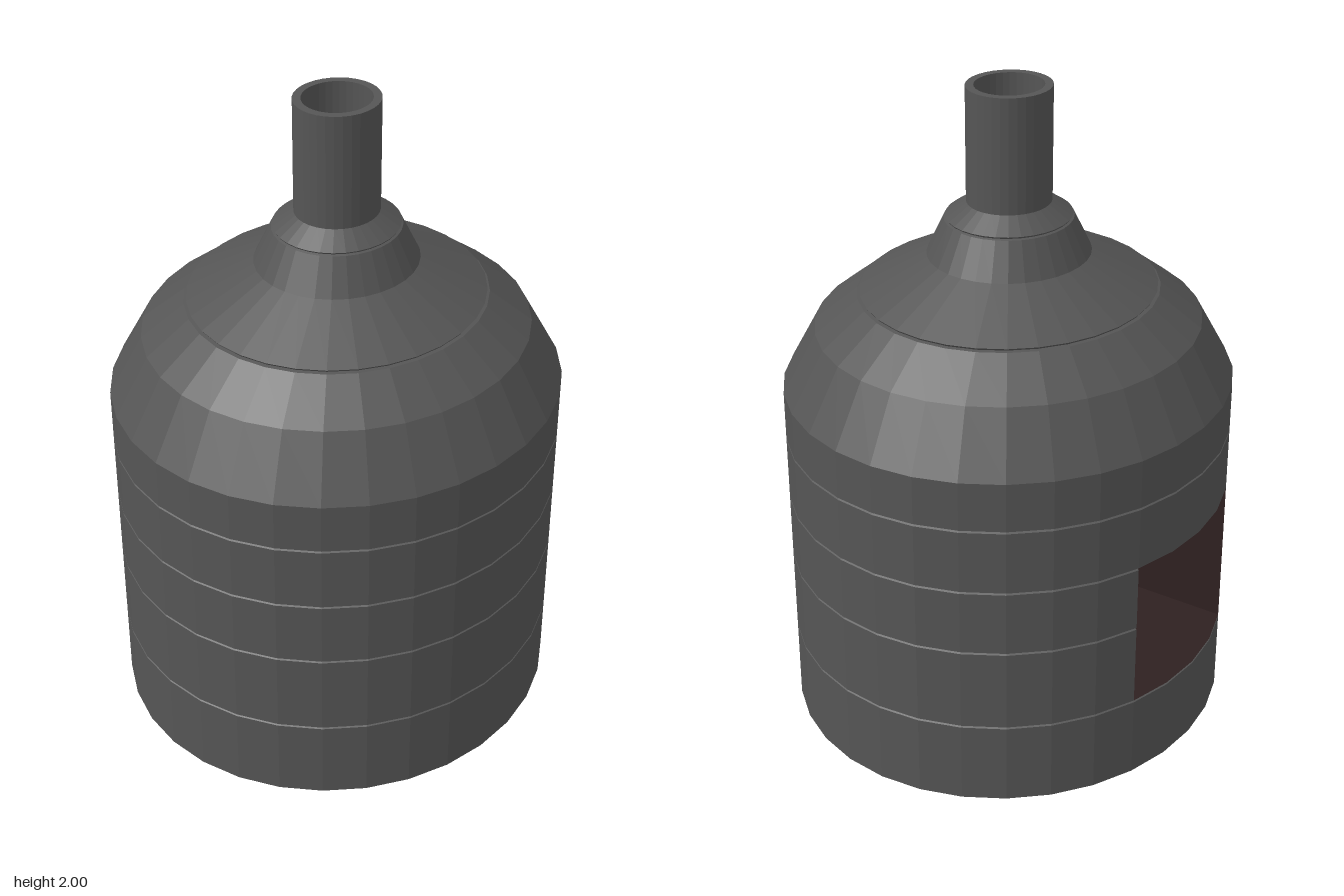
import * as THREE from 'three';

const SIDES = 32;
const R = 0.675;              // body radius along x
const STRETCH = 1.053;        // body is slightly longer along z
const HOLE = Math.PI / 8;     // half angle of the side opening
const Y0 = 0.265, Y1 = 0.735; // opening floor and ceiling
const BACK = 0.1;             // x of the chamber's back wall

const metal = new THREE.MeshStandardMaterial({ color: 0x555555, flatShading: true });
const soot = new THREE.MeshStandardMaterial({ color: 0x2e2020, flatShading: true });

// Thin seam cut into the wall just below height y
const seam = (y, r = R) => [[r, y - 0.007], [r - 0.006, y - 0.0035], [r, y]];

function addMesh(group, name, geometry, material) {
  const mesh = new THREE.Mesh(geometry, material);
  mesh.name = name;
  group.add(mesh);
  return mesh;
}

function lathe(group, name, profile, segments = SIDES, start = 0, length = Math.PI * 2) {
  const points = profile.map(([r, y]) => new THREE.Vector2(r, y));
  return addMesh(group, name, new THREE.LatheGeometry(points, segments, start, length), metal);
}

export function createModel() {
  const model = new THREE.Group();
  const body = new THREE.Group();
  body.name = 'furnaceBody';
  body.scale.z = STRETCH;
  model.add(body);

  // Closed base below the opening
  lathe(body, 'baseRing', [[0, 0], [R, 0], ...seam(Y0)]);

  // Middle wall, left open on the -x side
  lathe(body, 'openWall', [[R, Y0], ...seam(0.528), ...seam(Y1)],
    SIDES - 4, Math.PI * 1.5 + HOLE, Math.PI * 2 - 2 * HOLE);

  // Upper wall and stepped dome
  lathe(body, 'upperWall', [[R, Y1], ...seam(0.938), [R, 1.09]]);
  lathe(body, 'dome', [[R, 1.09], [0.575, 1.275], [0.447, 1.376], [0.436, 1.378],
    [0.44, 1.384], [0.242, 1.49]]);
  lathe(body, 'collar', [[0.242, 1.49], [0.19, 1.6], [0.183, 1.603], [0.186, 1.608], [0.125, 1.65]]);

  // Hollow chimney pipe
  lathe(body, 'chimney', [[0.125, 1.65], [0.125, 2], [0.101, 2], [0.101, 1.5]]);
  const flue = addMesh(body, 'flueBottom', new THREE.CircleGeometry(0.101, SIDES), soot);
  flue.rotation.x = -Math.PI / 2;
  flue.position.y = 1.5;

  // Chamber floor and ceiling: straight sides with a curved mouth
  const halfWidth = R * Math.sin(HOLE);
  const mouthX = -R * Math.cos(HOLE);
  const outline = [new THREE.Vector2(BACK, -halfWidth), new THREE.Vector2(BACK, halfWidth)];
  for (let i = -2; i <= 2; i++) {
    const a = Math.PI + (i * HOLE) / 2;
    outline.push(new THREE.Vector2(R * Math.cos(a), R * Math.sin(a)));
  }
  const plan = new THREE.ShapeGeometry(new THREE.Shape(outline));
  const floor = addMesh(body, 'chamberFloor', plan, soot);
  floor.rotation.x = -Math.PI / 2;
  floor.position.y = Y0;
  const ceiling = addMesh(body, 'chamberCeiling', plan, soot);
  ceiling.rotation.x = Math.PI / 2;
  ceiling.position.y = Y1;

  // Chamber walls
  const height = Y1 - Y0, midY = (Y0 + Y1) / 2;
  for (const s of [-1, 1]) {
    const side = addMesh(body, 'chamberSide', new THREE.PlaneGeometry(BACK - mouthX, height), soot);
    side.position.set((BACK + mouthX) / 2, midY, s * halfWidth);
    side.rotation.y = s > 0 ? Math.PI : 0;
  }
  const back = addMesh(body, 'chamberBack', new THREE.PlaneGeometry(2 * halfWidth, height), soot);
  back.position.set(BACK, midY, 0);
  back.rotation.y = -Math.PI / 2;

  return model;
}
